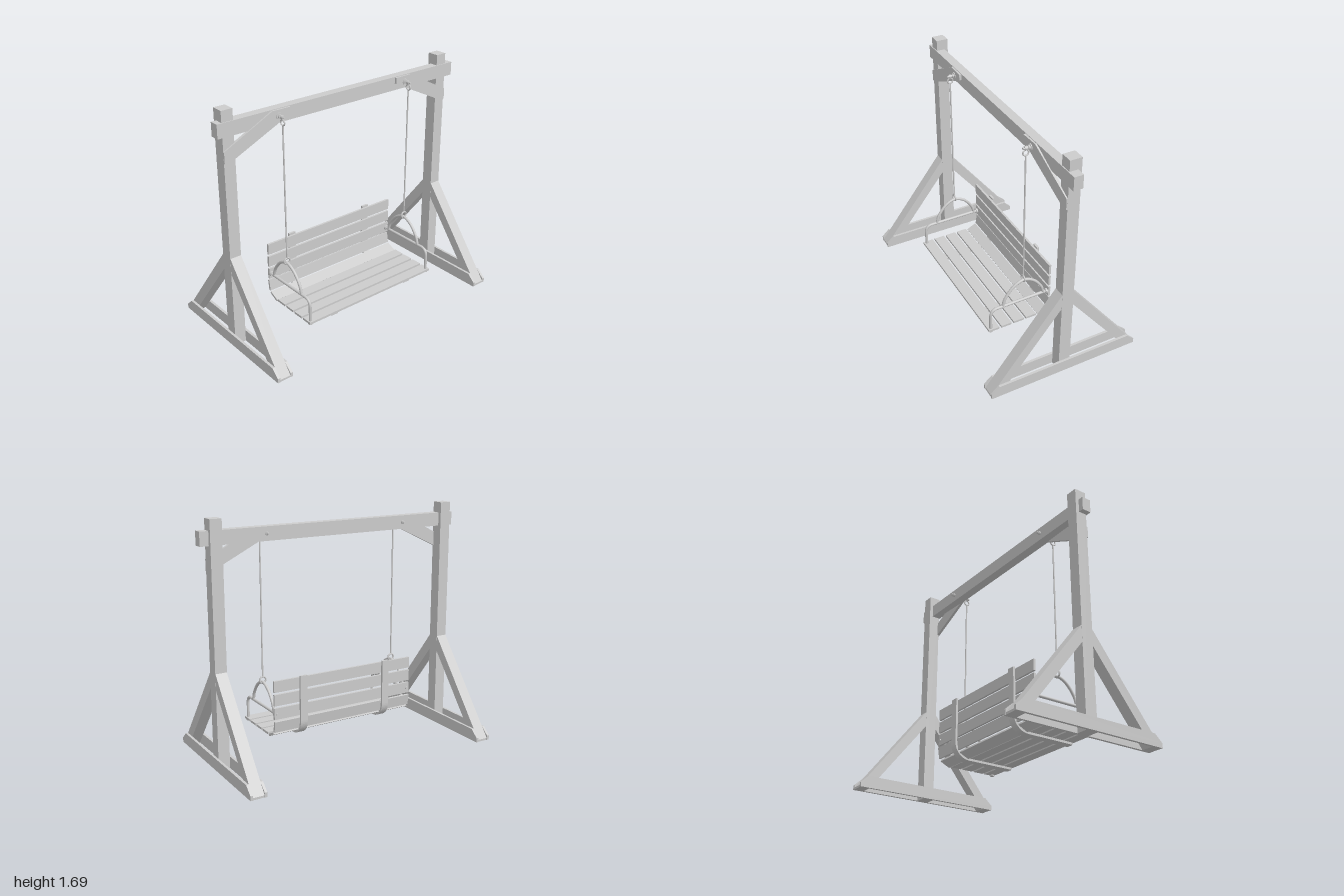
import * as THREE from 'three';

const mat = new THREE.MeshStandardMaterial({ color: 0xcccccc });
const V = (x, y, z) => new THREE.Vector3(x, y, z);

function add(parent, name, geo, x = 0, y = 0, z = 0) {
  const m = new THREE.Mesh(geo, mat);
  m.name = name;
  m.position.set(x, y, z);
  parent.add(m);
  return m;
}

function extrude(points, depth) {
  const shape = new THREE.Shape(points.map(([a, b]) => new THREE.Vector2(a, b)));
  return new THREE.ExtrudeGeometry(shape, { depth, bevelEnabled: false }).translate(0, 0, -depth / 2);
}

// Side profile given as [z, y], extruded across x
const sideProfile = (points, width) => extrude(points, width).rotateY(-Math.PI / 2);

// Cylinder along z
const rodZ = (r, len, sides = 20) => new THREE.CylinderGeometry(r, r, len, sides).rotateX(Math.PI / 2);

const POST_X = 0.909, ROPE_X = 0.54, ROPE_Z = 0.098;

// Seat curve: flat seat, quarter bend, upright back
const FRONT = 0.37, SEAT_Y = 0.165, BACK_Z = -0.112, R = 0.1, TOP = 0.58;
const FLAT = FRONT - BACK_Z - R, BEND = R * Math.PI / 2;
const LENGTH = FLAT + BEND + TOP - SEAT_Y - R;

// Point on the curve at distance s, moved outwards by off; a is the tilt
function seatPoint(s, off = 0) {
  if (s < FLAT) return { z: FRONT - s, y: SEAT_Y - off, a: 0 };
  if (s > FLAT + BEND) return { z: BACK_Z - off, y: SEAT_Y + R + s - FLAT - BEND, a: Math.PI / 2 };
  const a = (s - FLAT) / R;
  return {
    z: BACK_Z + R - Math.sin(a) * (R + off),
    y: SEAT_Y + R - Math.cos(a) * (R + off),
    a,
  };
}

function buildSide(side) {
  const g = new THREE.Group();
  const x = side * POST_X;
  add(g, 'post', new THREE.BoxGeometry(0.083, 1.69, 0.085), x, 0.845, 0.002);

  // Pair of foot boards with clipped ends
  const foot = [[-0.5625, 0], [0.5625, 0], [0.5625, 0.033], [0.505, 0.085], [-0.505, 0.085], [-0.5625, 0.033]];
  for (const s of [-1, 1]) add(g, 'footBoard', sideProfile(foot, 0.018), x + s * 0.0495, 0, 0);

  // Diagonal leg braces, front and back
  for (const s of [-1, 1]) {
    const leg = [[0.04, 0.68], [0.04, 0.565], [0.487, 0], [0.56, 0], [0.56, 0.015]];
    add(g, 'legBrace', sideProfile(leg.map(([z, y]) => [z * s, y]), 0.081), x, 0, 0);
  }

  // Knee brace leaning back towards the post
  const knee = [[0.95, 1.425], [0.59, 1.61], [0.453, 1.61], [0.453, 1.567], [0.548, 1.52], [0.922, 1.34], [0.95, 1.347]];
  const kneeGeo = extrude(knee.map(([a, b]) => [a * side, b]), 0.02);
  const p = kneeGeo.attributes.position;
  for (let i = 0; i < p.count; i++) p.setZ(i, p.getZ(i) + 0.057 - 0.028 * (Math.abs(p.getX(i)) - 0.453));
  kneeGeo.computeVertexNormals();
  add(g, 'kneeBrace', kneeGeo);

  // Eye bolt through the beam
  const rx = side * ROPE_X, by = 1.567;
  add(g, 'bolt', rodZ(0.008, 0.165), rx, by, 0.037);
  add(g, 'washer', rodZ(0.025, 0.006, 24), rx, by, 0.069);
  add(g, 'nut', rodZ(0.017, 0.012, 6), rx, by, 0.077);
  add(g, 'boltCollar', rodZ(0.013, 0.022), rx, by, ROPE_Z);
  add(g, 'rearNut', rodZ(0.014, 0.016, 6), rx, by, -0.024);
  add(g, 'topRing', new THREE.TorusGeometry(0.02, 0.005, 10, 28).rotateY(Math.PI / 2), rx, 1.533, ROPE_Z);

  // Rope with its lower ring
  add(g, 'rope', new THREE.CylinderGeometry(0.0055, 0.0055, 0.965, 12), rx, 1.034, ROPE_Z);
  add(g, 'lowerRing', new THREE.TorusGeometry(0.023, 0.006, 10, 28), rx, 0.532, ROPE_Z);
  return g;
}

function buildArm(side) {
  const g = new THREE.Group();
  g.name = 'armrest';
  const x = side * ROPE_X;

  // Bent arm pipe: back to front, then down to the seat
  const path = new THREE.CurvePath();
  path.add(new THREE.LineCurve3(V(x, 0.343, -0.1), V(x, 0.343, 0.295)));
  path.add(new THREE.QuadraticBezierCurve3(V(x, 0.343, 0.295), V(x, 0.343, 0.348), V(x, 0.285, 0.348)));
  path.add(new THREE.LineCurve3(V(x, 0.285, 0.348), V(x, 0.155, 0.348)));
  add(g, 'armPipe', new THREE.TubeGeometry(path, 60, 0.0105, 14));

  // Hanging arch above the arm
  const arch = new THREE.CatmullRomCurve3([
    V(x, 0.343, 0.255), V(x, 0.405, 0.235), V(x, 0.485, 0.17), V(x, 0.516, 0.095),
    V(x, 0.485, 0.02), V(x, 0.405, -0.045), V(x, 0.343, -0.065),
  ]);
  add(g, 'hangingArch', new THREE.TubeGeometry(arch, 48, 0.0105, 14));

  // Fixings at both pipe ends
  add(g, 'rearFixing', rodZ(0.019, 0.014), x, 0.343, -0.088);
  add(g, 'rearBolt', rodZ(0.01, 0.04), x, 0.343, -0.1);
  add(g, 'frontFixing', new THREE.CylinderGeometry(0.016, 0.016, 0.008, 20), x, 0.16, 0.348);
  return g;
}

function buildBench() {
  const g = new THREE.Group();
  g.name = 'bench';

  // Nine slats spaced evenly along the curve
  const WIDTH = 0.08, COUNT = 9;
  for (let i = 0; i < COUNT; i++) {
    const s = WIDTH / 2 + (LENGTH - WIDTH) * i / (COUNT - 1);
    const { z, y, a } = seatPoint(s, -0.009);
    add(g, 'slat', new THREE.BoxGeometry(1.118, 0.016, WIDTH), 0, y, z).rotation.x = a;
  }

  // Two bent straps under the slats
  const inner = [], outer = [];
  const stops = [0.012, FLAT];
  for (let i = 1; i <= 14; i++) stops.push(FLAT + BEND * i / 14);
  stops.push(LENGTH + 0.012);
  for (const s of stops) {
    const a = seatPoint(s), b = seatPoint(s, 0.016);
    inner.push([a.z, a.y]);
    outer.unshift([b.z, b.y]);
  }
  for (const s of [-1, 1]) {
    add(g, 'seatStrap', sideProfile([...inner, ...outer], 0.055), s * 0.338, 0, 0);
    g.add(buildArm(s));
  }
  return g;
}

export function createModel() {
  const model = new THREE.Group();
  model.name = 'gardenSwing';
  add(model, 'beam', new THREE.BoxGeometry(2, 0.096, 0.066), 0, 1.566, 0.018);

  const body = new THREE.Group();
  body.name = 'frameAndBench';
  body.position.x = -0.012;
  for (const side of [-1, 1]) {
    const s = buildSide(side);
    s.name = side > 0 ? 'leftSide' : 'rightSide';
    body.add(s);
  }
  body.add(buildBench());
  model.add(body);
  return model;
}
